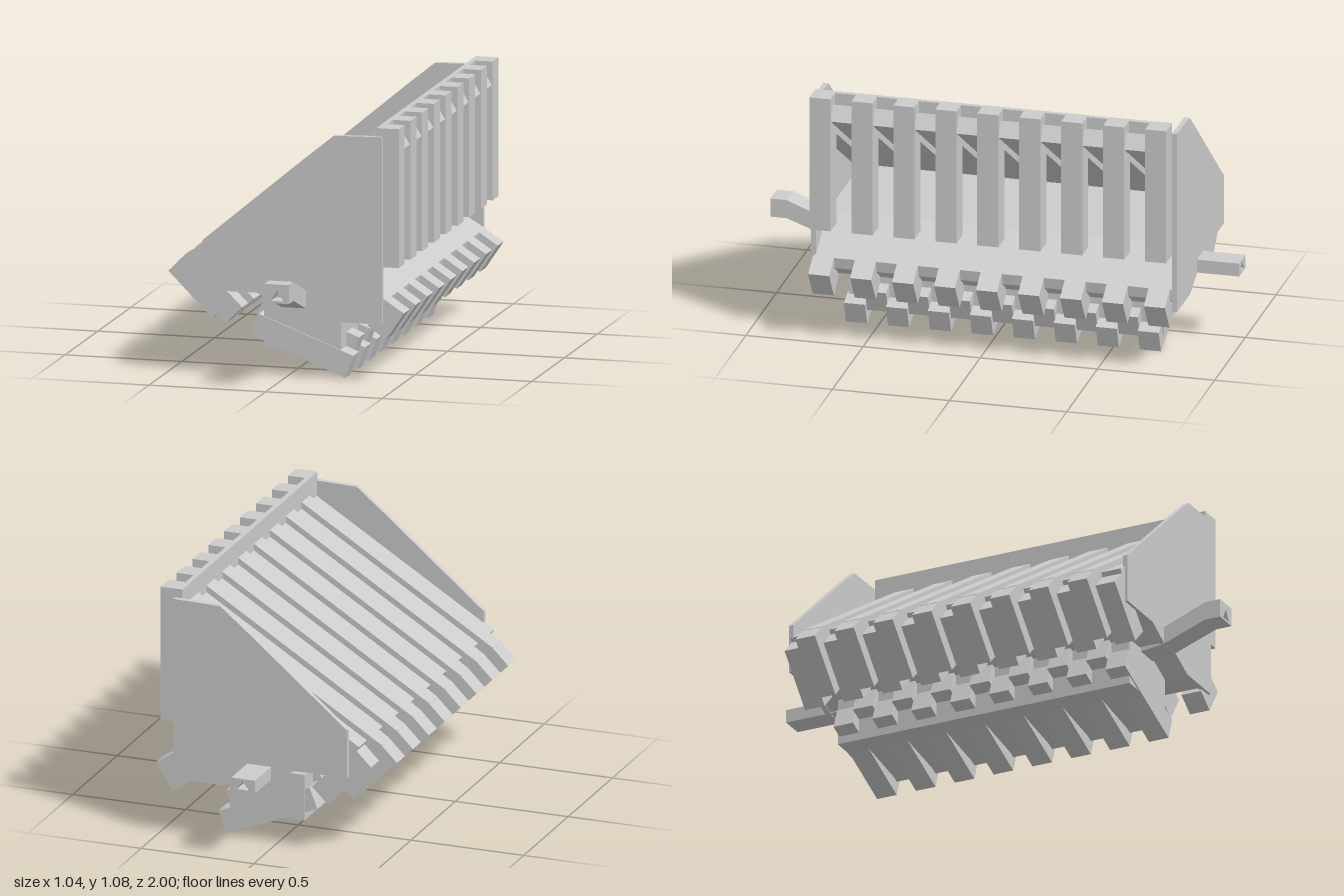
import * as THREE from 'three';

const PITCH = 0.179, W = 0.09;
const FIRST = -0.747; // centre of the first fin along z

export function createModel() {
  const model = new THREE.Group();
  const material = new THREE.MeshStandardMaterial({ color: 0xcccccc, flatShading: true, side: THREE.DoubleSide });

  // Prism: outline in the xy plane, extruded from z0 to z1
  function prism(name, points, z0, z1, hole) {
    const shape = new THREE.Shape(points.map(([x, y]) => new THREE.Vector2(x, y)));
    if (hole) shape.holes.push(new THREE.Path(hole.map(([x, y]) => new THREE.Vector2(x, y))));
    const geometry = new THREE.ExtrudeGeometry(shape, { depth: z1 - z0, bevelEnabled: false });
    geometry.translate(0, 0, z0);
    const mesh = new THREE.Mesh(geometry, material);
    mesh.name = name;
    model.add(mesh);
    return mesh;
  }
  const rect = (x0, y0, x1, y1) => [[x0, y0], [x1, y0], [x1, y1], [x0, y1]];

  // Repeats a prism along z in every second slot
  function row(name, points, start, count) {
    for (let i = 0; i < count; i++) {
      const z = start + i * PITCH;
      prism(name, points, z - W / 2, z + W / 2);
    }
  }
  const BETWEEN = FIRST + PITCH / 2;

  // End plates
  const plate = [[-0.342, 0.36], [-0.11, 0.36], [0, 0.305], [0.1, 0.305], [0.21, 0.255],
    [0.427, 0.255], [0.427, 1.045], [0.22, 1.04], [0.1, 0.942], [0, 0.858], [-0.342, 0.57]];
  prism('frontPlate', plate, 0.72, 0.742);
  prism('backPlate', plate, -0.82, -0.798);

  // Sloping floor inside the hollow body
  prism('floor', [[-0.34, 0.36], [-0.11, 0.36], [0, 0.31], [0.1, 0.31], [0.21, 0.26], [0.36, 0.26],
    [0.43, 0.308], [0.437, 0.355], [0.23, 0.48], [-0.34, 0.48]], -0.798, 0.725);

  // Straight sloping roof ribs; the high ones poke out between the fins
  row('highRoofRib', [[-0.45, 0.48], [-0.41, 0.418], [0.492, 0.98], [0.455, 1.042]], BETWEEN, 8);
  row('lowRoofRib', [[-0.385, 0.492], [-0.345, 0.43], [0.44, 0.917], [0.4, 0.979]], FIRST, 9);

  // Slanted blocks at the lower edge of the roof
  const slant = dx => [[-0.518 + dx, 0.41], [-0.328 + dx, 0.22], [-0.256 + dx, 0.292], [-0.446 + dx, 0.482]];
  row('outerEaveBlock', slant(0), BETWEEN, 8);
  row('innerEaveBlock', slant(0.08), FIRST, 9);

  // Upright fins joined by a top bar
  row('uprightFin', rect(0.398, 0.495, 0.495, 1.08), FIRST, 9);
  prism('topBar', rect(0.398, 1.0, 0.42, 1.08), -0.79, 0.73);

  // Tilted feet below the fins
  row('foot', [[0.36, 0.245], [0.44, 0.19], [0.517, 0.305], [0.437, 0.357]], FIRST, 9);

  // Lower tray with alternating tilted slats
  prism('tray', [[-0.11, 0.105], [-0.03, 0.105], [0.22, 0.07], [0.22, 0.255], [0.1, 0.306],
    [0, 0.306], [-0.11, 0.306]], -0.71, 0.635);
  const slat = dy => [[-0.165, 0.16 + dy], [0.24, dy], [0.275, 0.095 + dy], [-0.13, 0.25 + dy]];
  row('lowerSlat', slat(0), BETWEEN, 8);
  row('upperSlat', slat(0.06), FIRST + PITCH, 7);

  // Front hook: rising arm (outline in z and y) and a socketed tip
  const triangle = (y0, y1) => [[0.022, y0], [0.05, y1], [0.075, y0]];
  const arm = prism('frontHookArm', [[0.62, 0.29], [0.74, 0.305], [0.93, 0.375], [0.93, 0.455], [0.74, 0.38], [0.62, 0.365]], 0, 0.105);
  arm.rotation.y = -Math.PI / 2;
  arm.position.x = 0.1;
  prism('frontHookTip', rect(-0.005, 0.375, 0.1, 0.455), 0.93, 1, triangle(0.385, 0.43));

  // Back hook
  prism('backHookArm', rect(-0.005, 0.308, 0.1, 0.365), -0.92, -0.69);
  prism('backHookTip', rect(-0.005, 0.308, 0.1, 0.365), -1, -0.92, triangle(0.318, 0.355));

  return model;
}
